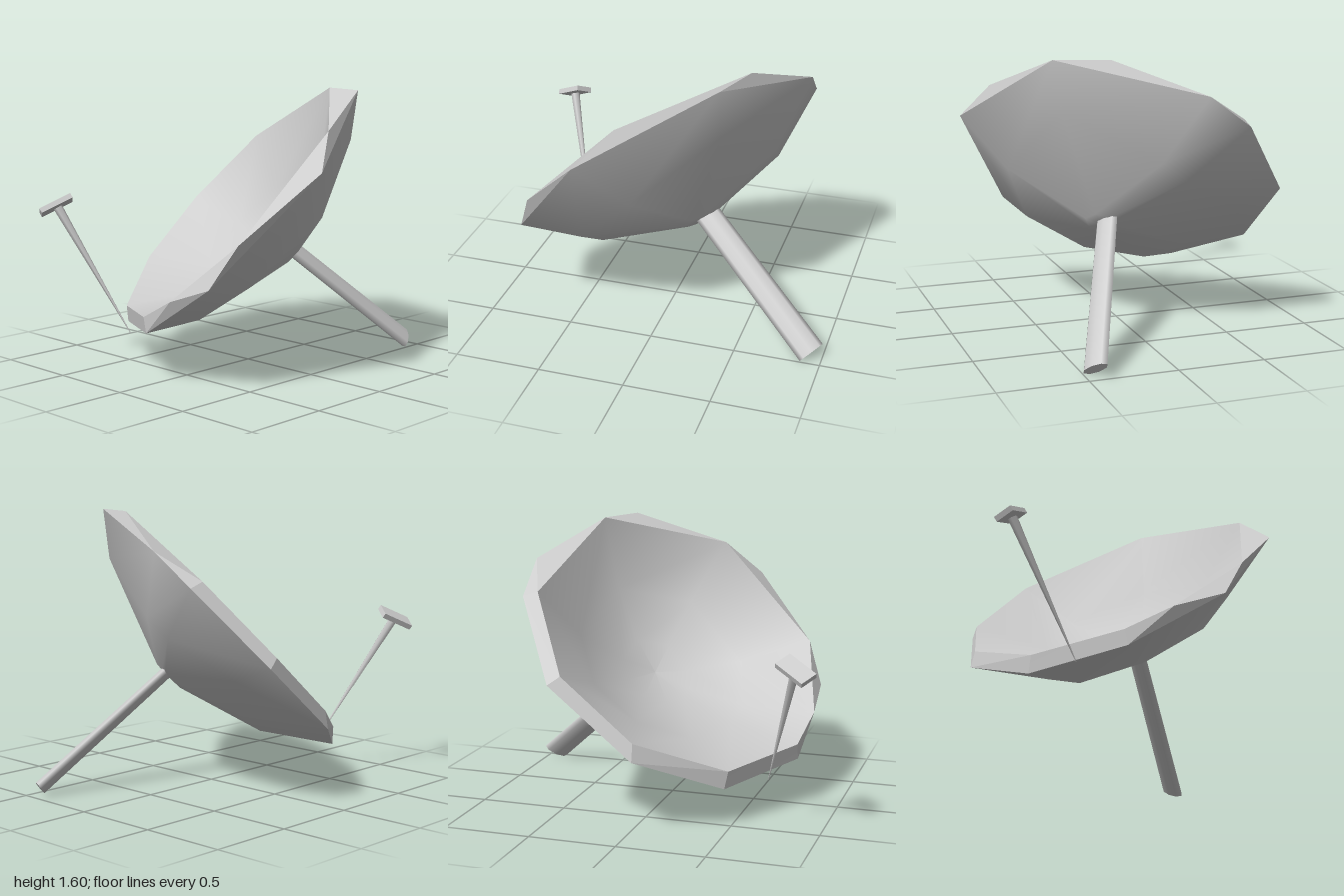
import * as THREE from 'three';
import { toCreasedNormals } from 'three/addons/utils/BufferGeometryUtils.js';

const V = (x, y, z) => new THREE.Vector3(x, y, z);
const AXIS = V(-0.584, 0.69, -0.426).normalize(); // direction the dish opens

// Rim corners, counter-clockwise seen from the opening
const backRim = [
  V(0.39, 1.6, 0.5), V(0.73, 1.41, -0.28), V(0.71, 1.23, -0.53),
  V(0.44, 0.81, -0.85), V(-0.04, 0.42, -0.85), V(-0.47, 0.22, -0.54),
  V(-0.77, 0.28, -0.04), V(-0.79, 0.6, 0.48), V(-0.32, 1.21, 0.85),
];
const frontRim = [
  V(-0.12, 1.41, 0.72), V(0.49, 1.6, 0.2), V(0.62, 1.26, -0.53),
  V(0.37, 0.86, -0.83), V(-0.04, 0.52, -0.83), V(-0.49, 0.32, -0.53),
  V(-0.77, 0.37, -0.06), V(-0.81, 0.5, 0.2), V(-0.69, 0.84, 0.6),
];
const backCentre = V(-0.045, 0.915, -0.02);
const frontCentre = V(-0.08, 0.96, -0.05);
// How far out the uneven middle ring of the back shell lies, per corner
const backMiddle = [0.76, 0.6, 0.6, 0.76, 0.6, 0.63, 0.72, 0.7, 0.63];

// Rim corner pulled in to the fraction s and sunk into a bowl of the given depth
const sink = (p, centre, s, depth) =>
  centre.clone().lerp(p, s).addScaledVector(AXIS, -depth * (1 - s * s));

// Joins consecutive rings of equal length
function loft(rings) {
  const n = rings[0].length;
  const index = [];
  for (let r = 0; r < rings.length - 1; r++) {
    for (let i = 0; i < n; i++) {
      const j = (i + 1) % n;
      const a = r * n, b = a + n;
      index.push(a + i, a + j, b + j, a + i, b + j, b + i);
    }
  }
  const g = new THREE.BufferGeometry().setFromPoints(rings.flat());
  g.setIndex(index);
  g.computeVertexNormals();
  return g;
}

// Sets a mesh at a point with its x and y axes along the given directions
function place(mesh, xDir, yDir, position) {
  const y = yDir.clone().normalize();
  const z = xDir.clone().cross(y).normalize();
  const x = y.clone().cross(z);
  mesh.quaternion.setFromRotationMatrix(new THREE.Matrix4().makeBasis(x, y, z));
  mesh.position.copy(position);
}

export function createModel() {
  const model = new THREE.Group();
  model.name = 'dishAntenna';
  const grey = new THREE.MeshStandardMaterial({ color: 0xcccccc, side: THREE.DoubleSide });
  grey.name = 'light grey';
  const add = (name, geometry) => {
    const mesh = new THREE.Mesh(geometry, grey);
    mesh.name = name;
    model.add(mesh);
    return mesh;
  };

  // Back shell from the hub over the middle ring to the rim
  add('dishBack', loft([
    backRim.map((p) => sink(p, backCentre, 0.02, 0.42)),
    backRim.map((p) => sink(p, backCentre, 0.1, 0.42)),
    backRim.map((p, i) => sink(p, backCentre, backMiddle[i], 0.42)),
    backRim,
  ]));

  // Bevelled rim
  add('dishRim', toCreasedNormals(loft([backRim, frontRim]), 0.1));

  // Hollow front
  add('dishFront', loft([1, 0.6, 0.25, 0.001].map((s) => frontRim.map((p) => sink(p, frontCentre, s, 0.39)))));

  // Flattened support arm from the hub down to the foot
  const hub = V(0.22, 0.67, 0.13);
  const foot = V(0.94, 0.039, 0.447);
  const along = hub.clone().sub(foot);
  const arm = add('supportArm', new THREE.CylinderGeometry(0.075, 0.082, along.length(), 8).scale(1, 1, 0.4));
  place(arm, V(0.12, 0.065, -0.09), along, hub.clone().add(foot).multiplyScalar(0.5));

  // Thin tapering feed post
  const tip = V(-0.66, 0.22, -0.3);
  const head = V(-0.88, 0.935, -0.665);
  const rise = head.clone().sub(tip);
  const post = add('feedPost', new THREE.CylinderGeometry(0.027, 0.002, rise.length(), 6));
  place(post, V(1, 0, 0), rise, head.clone().add(tip).multiplyScalar(0.5));

  // Tilted receiver plate on the post
  const plate = add('receiverPlate', new THREE.BoxGeometry(0.196, 0.03, 0.108));
  place(plate, V(0.16, 0.08, 0.08), V(-0.15, 0.83, -0.53), V(-0.886, 0.948, -0.675));

  return model;
}
